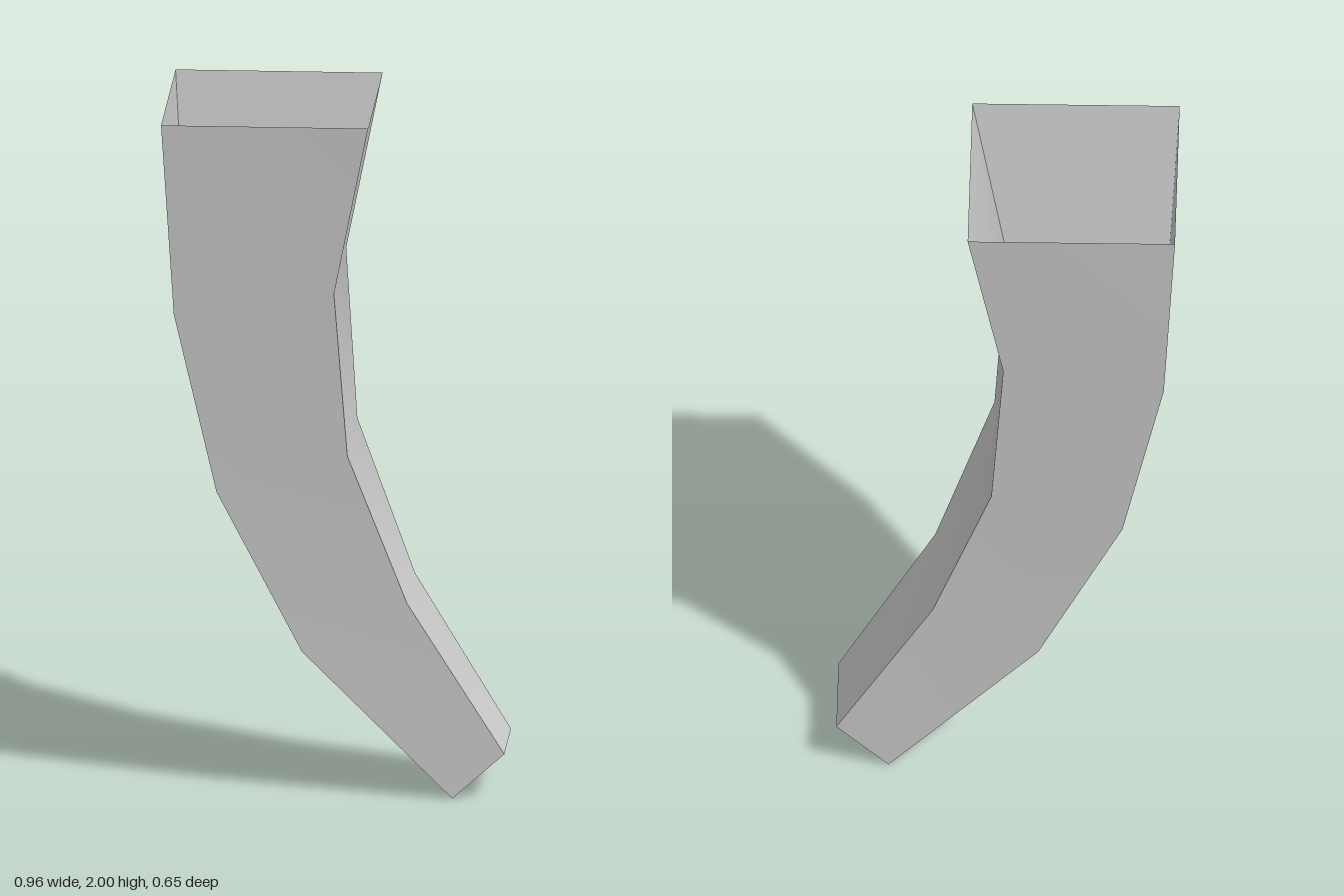
import * as THREE from 'three';

// Cross-sections from the open top to the closed tip:
// outer edge x, y; inner edge x, y; half depth
const sections = [
  [-0.483, 2.0, 0.105, 2.0, 0.323],
  [-0.45, 1.435, 0.005, 1.5, 0.272],
  [-0.332, 0.905, 0.04, 1.015, 0.222],
  [-0.092, 0.43, 0.207, 0.575, 0.177],
  [0.333, 0.0, 0.481, 0.132, 0.148],
];

// Four corners of a section, in order around the horn
const corners = ([xo, yo, xi, yi, d]) => [
  [xo, yo, d], [xi, yi, d], [xi, yi, -d], [xo, yo, -d],
];

function meshFrom(points, index, material, name) {
  const geometry = new THREE.BufferGeometry();
  geometry.setAttribute('position', new THREE.Float32BufferAttribute(points.flat(), 3));
  geometry.setIndex(index);
  geometry.computeVertexNormals();
  const mesh = new THREE.Mesh(geometry, material);
  mesh.name = name;
  return mesh;
}

export function createModel() {
  const group = new THREE.Group();
  group.name = 'curvedHorn';
  const grey = new THREE.MeshStandardMaterial({ color: 0xcccccc, side: THREE.DoubleSide });
  grey.name = 'light grey';

  // Four walls, each smooth along its length with sharp edges between them
  const rings = sections.map(corners);
  ['frontWall', 'innerWall', 'backWall', 'outerWall'].forEach((name, side) => {
    const points = [], index = [];
    rings.forEach((ring, i) => {
      points.push(ring[side], ring[(side + 1) % 4]);
      if (i === 0) return;
      const a = 2 * i - 2;
      index.push(a, a + 2, a + 3, a, a + 3, a + 1);
    });
    group.add(meshFrom(points, index, grey, name));
  });

  // Flat cap closing the narrow tip; the wide end stays open
  const tip = [...rings[rings.length - 1]].reverse();
  group.add(meshFrom(tip, [0, 1, 2, 0, 2, 3], grey, 'tipCap'));
  return group;
}
